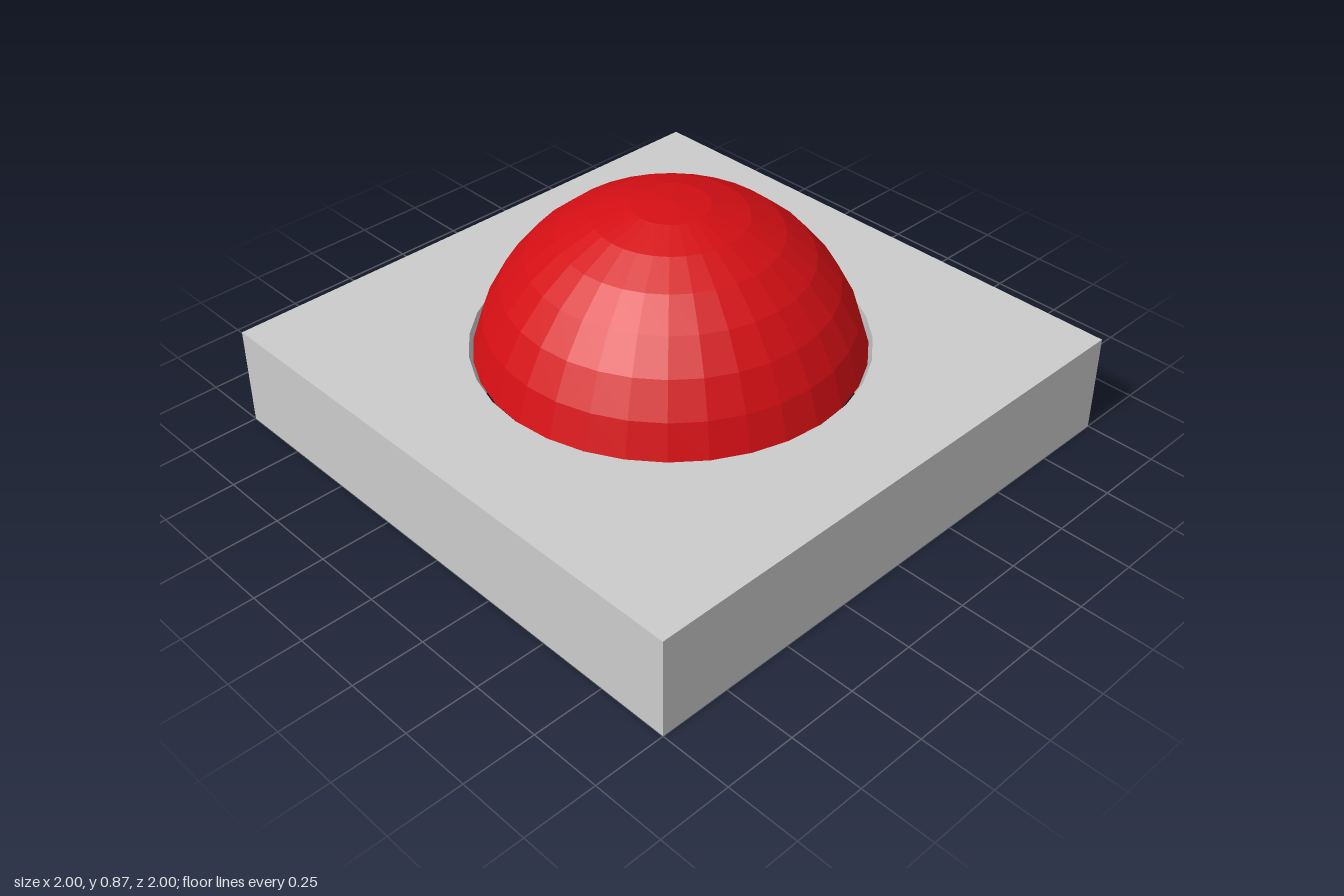
import * as THREE from 'three';

const R = 0.663;        // hole radius and dome sphere radius
const THICK = 0.357;    // plate thickness
const SIDES = 32;

export function createModel() {
  const model = new THREE.Group();
  model.name = 'domeButton';

  // square plate with a round through-hole
  const outline = new THREE.Shape([[-1, -1], [1, -1], [1, 1], [-1, 1]].map(([x, y]) => new THREE.Vector2(x, y)));
  const rim = [];
  for (let i = 0; i < SIDES; i++) {
    const a = -i / SIDES * Math.PI * 2;
    rim.push(new THREE.Vector2(R * Math.cos(a), R * Math.sin(a)));
  }
  outline.holes.push(new THREE.Path(rim));
  const plateGeometry = new THREE.ExtrudeGeometry(outline, { depth: THICK, bevelEnabled: false });
  plateGeometry.rotateX(-Math.PI / 2);
  const plate = new THREE.Mesh(plateGeometry, new THREE.MeshStandardMaterial({ color: 0xcccccc, flatShading: true }));
  plate.name = 'basePlate';

  // open faceted dome: seven rings, its edge just inside the hole
  const domeGeometry = new THREE.SphereGeometry(R, SIDES, 7, 0, Math.PI * 2, 0, Math.PI * 7 / 16);
  const dome = new THREE.Mesh(domeGeometry, new THREE.MeshStandardMaterial({
    color: 0xd40f14, flatShading: true, side: THREE.DoubleSide,
  }));
  dome.name = 'dome';
  dome.position.y = 0.874 - R;

  model.add(plate, dome);
  return model;
}
